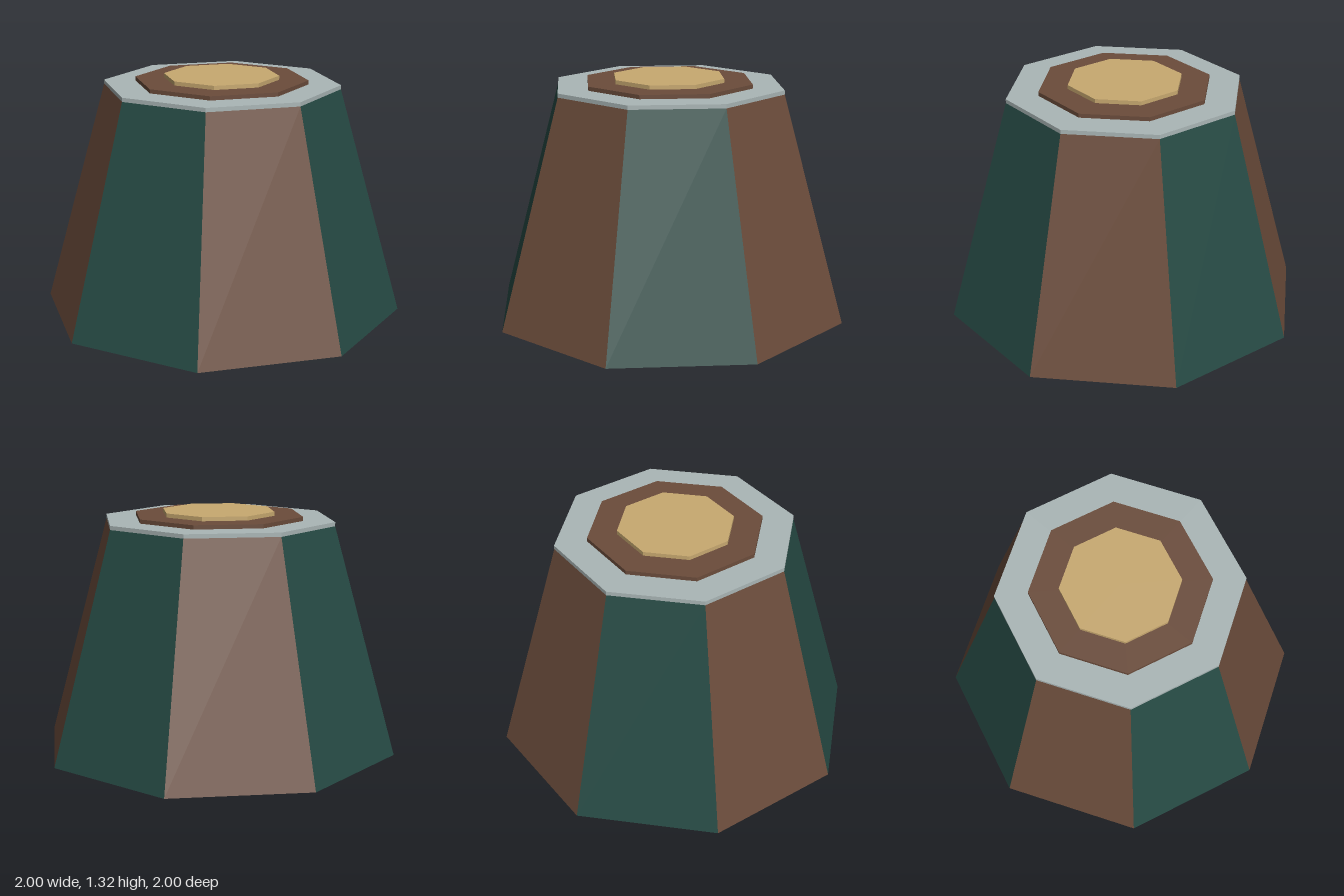
import * as THREE from 'three';

const SIDES = 8;

function material(name, color) {
  return new THREE.MeshStandardMaterial({ name, color, flatShading: true });
}

export function createModel() {
  const brown = material('brown', 0x6b4c3b);
  const green = material('darkGreen', 0x264a44);
  const grey = material('paleGrey', 0xaab6b6);
  const tan = material('tan', 0xc8a970);

  const model = new THREE.Group();
  model.name = 'taperedOctagon';

  // Octagonal slab with a corner on each axis, standing on height y
  function addTier(name, bottomRadius, topRadius, y, height, mat) {
    const geometry = new THREE.CylinderGeometry(topRadius, bottomRadius, height, SIDES);
    geometry.translate(0, y + height / 2, 0);
    const mesh = new THREE.Mesh(geometry, mat);
    mesh.name = name;
    model.add(mesh);
    return mesh;
  }

  // Tapered body: sides alternate brown and green, both caps green
  const body = addTier('body', 1, 0.65, 0, 1.25, [brown, green]);
  body.geometry.clearGroups();
  for (let i = 0; i < SIDES; i++) body.geometry.addGroup(i * 6, 6, i % 2);
  body.geometry.addGroup(SIDES * 6, SIDES * 6, 1);

  // Stacked top plates
  addTier('topRim', 0.65, 0.65, 1.25, 0.022, grey);
  addTier('middlePlate', 0.475, 0.475, 1.272, 0.022, brown);
  addTier('centrePlate', 0.316, 0.316, 1.294, 0.022, tan);

  return model;
}
